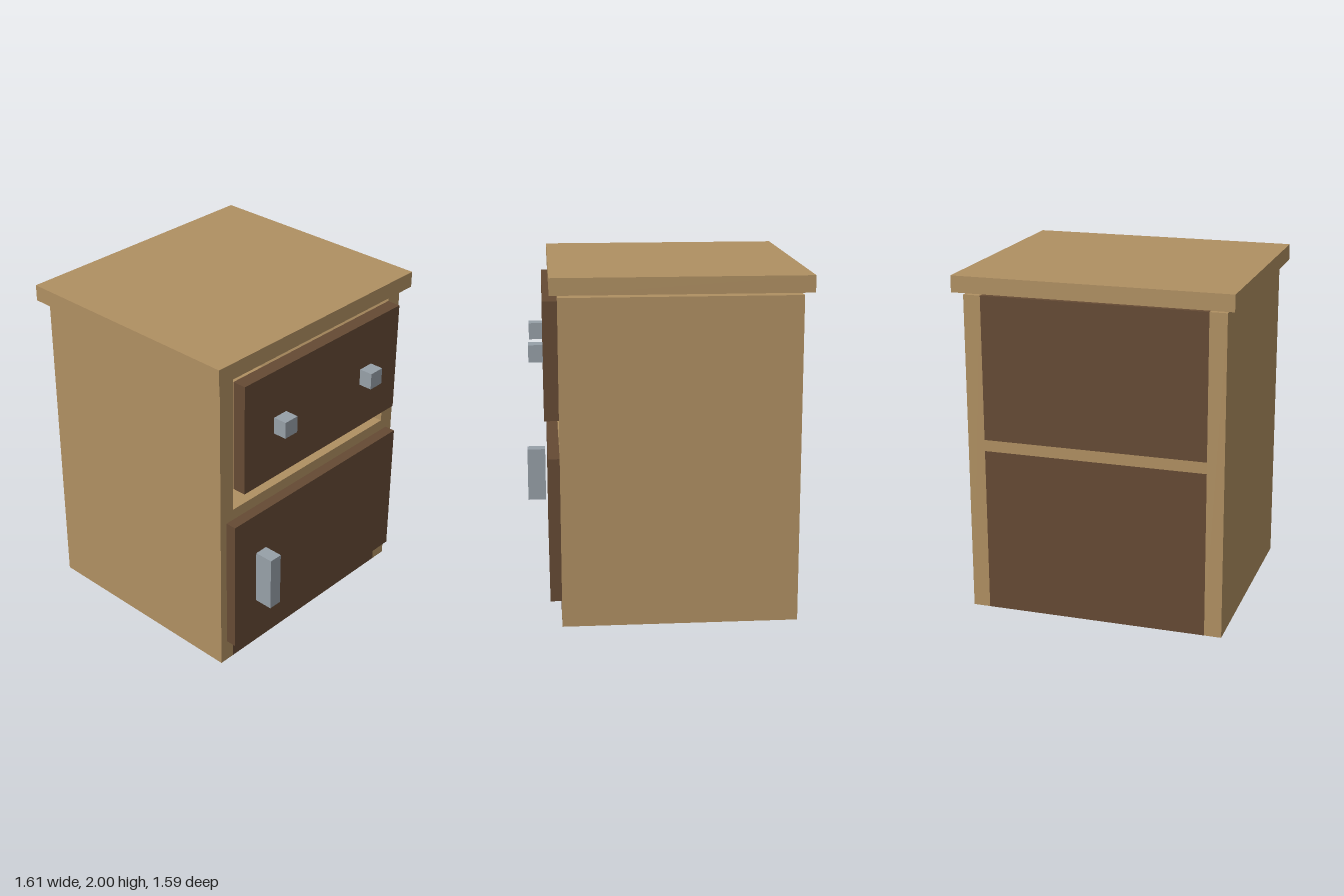
import * as THREE from 'three';

export function createModel() {
  const group = new THREE.Group();
  group.name = 'bedsideCabinet';

  const material = (name, color) => {
    const m = new THREE.MeshStandardMaterial({ color });
    m.name = name;
    return m;
  };
  const lightWood = material('lightWood', 0xb09062);
  const darkWood = material('darkWood', 0x654a34);
  const metal = material('metal', 0x97a0a8);

  // Box given by its limits on each axis
  const box = (name, mat, [x0, x1], [y0, y1], [z0, z1]) => {
    const mesh = new THREE.Mesh(new THREE.BoxGeometry(x1 - x0, y1 - y0, z1 - z0), mat);
    mesh.position.set((x0 + x1) / 2, (y0 + y1) / 2, (z0 + z1) / 2);
    mesh.name = name;
    group.add(mesh);
  };

  const inner = [-0.655, 0.655];
  const depth = [-0.745, 0.605];
  const back = [-0.745, -0.695];

  // Carcass
  box('leftSide', lightWood, [0.655, 0.755], [0, 1.885], depth);
  box('rightSide', lightWood, [-0.755, -0.655], [0, 1.885], depth);
  box('shelf', lightWood, inner, [0.975, 1.042], depth);
  box('bottomPanel', darkWood, inner, [0, 0.1], depth);
  box('lowerBackPanel', darkWood, inner, [0.1, 0.975], back);
  box('upperBackPanel', darkWood, inner, [1.042, 1.885], back);

  // Overhanging top, floating just above the carcass
  box('top', lightWood, [-0.805, 0.805], [1.905, 2], [-0.795, 0.65]);

  // Drawer front with two knobs
  box('drawerFront', darkWood, [-0.652, 0.652], [1.18, 1.852], [0.605, 0.687]);
  for (const [name, x] of [['leftKnob', 0.365], ['rightKnob', -0.369]]) {
    box(name, metal, [x - 0.049, x + 0.049], [1.466, 1.566], [0.687, 0.769]);
  }

  // Door with an upright handle
  box('door', darkWood, [-0.708, 0.706], [0.137, 0.975], [0.605, 0.67]);
  box('doorHandle', metal, [-0.546, -0.464], [0.39, 0.725], [0.682, 0.795]);

  return group;
}
